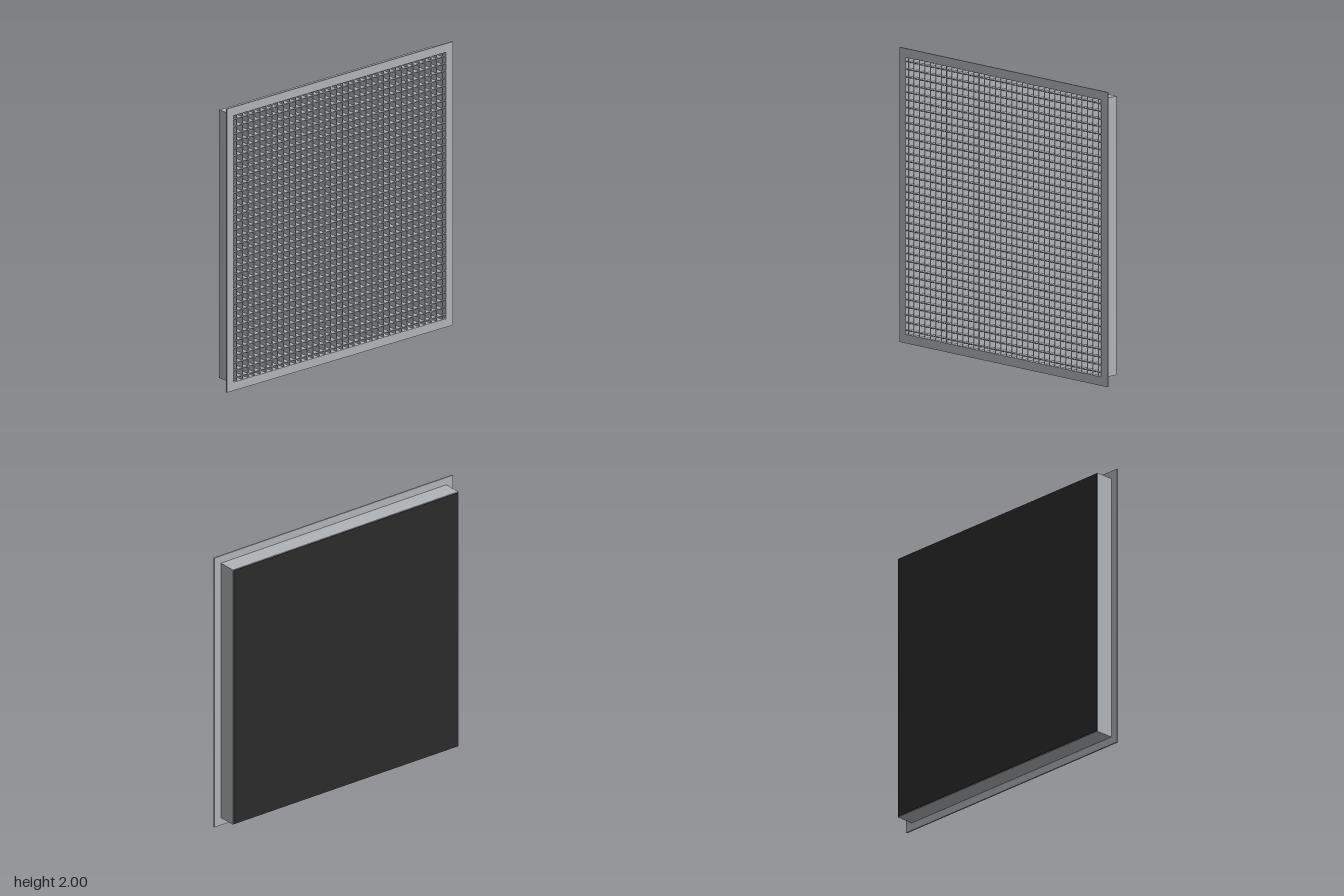
import * as THREE from 'three';

const grey = new THREE.MeshStandardMaterial({ color: 0xb0b4b7 });
grey.name = 'metal grey';
const black = new THREE.MeshStandardMaterial({ color: 0x2a2a2a });
black.name = 'backing black';

const INNER = 0.94; // half width of the grille opening

function add(group, name, geometry, material, x = 0, y = 0, z = 0) {
  const mesh = new THREE.Mesh(geometry, material);
  mesh.name = name;
  mesh.position.set(x, y, z);
  group.add(mesh);
}

// Square ring from half width `outer` to the opening, from z0 to z1
function ring(outer, z0, z1) {
  const square = (Type, h) => new Type([
    new THREE.Vector2(-h, -h), new THREE.Vector2(h, -h),
    new THREE.Vector2(h, h), new THREE.Vector2(-h, h),
  ]);
  const shape = square(THREE.Shape, outer);
  shape.holes.push(square(THREE.Path, INNER));
  return new THREE.ExtrudeGeometry(shape, { depth: z1 - z0, bevelEnabled: false }).translate(0, 0, z0);
}

export function createModel() {
  const model = new THREE.Group();
  model.name = 'ceilingGrille';
  const body = new THREE.Group();
  body.name = 'grilleBody';
  body.position.y = 1;
  model.add(body);

  // Flange, the box behind it, and the closed back
  add(body, 'flange', ring(1, 0.061, 0.071), grey);
  add(body, 'boxWalls', ring(0.946, -0.067, 0.061), grey);
  add(body, 'boxFloor', new THREE.BoxGeometry(2 * INNER, 2 * INNER, 0.005), grey, 0, 0, -0.0645);
  add(body, 'backPanel', new THREE.BoxGeometry(1.882, 1.882, 0.004), black, 0, 0, -0.069);

  // Egg-crate core: crossing thin slats at an even pitch
  const core = new THREE.Group();
  core.name = 'eggCrateCore';
  body.add(core);
  const count = 36, pitch = 0.0521, thick = 0.005, depth = 0.132;
  const upright = new THREE.BoxGeometry(thick, 2 * INNER, depth);
  const level = new THREE.BoxGeometry(2 * INNER, thick, depth);
  for (let i = 0; i < count; i++) {
    const p = (i - (count - 1) / 2) * pitch;
    add(core, 'verticalSlat', upright, grey, p, 0, 0.004);
    add(core, 'horizontalSlat', level, grey, 0, p, 0.004);
  }
  return model;
}
